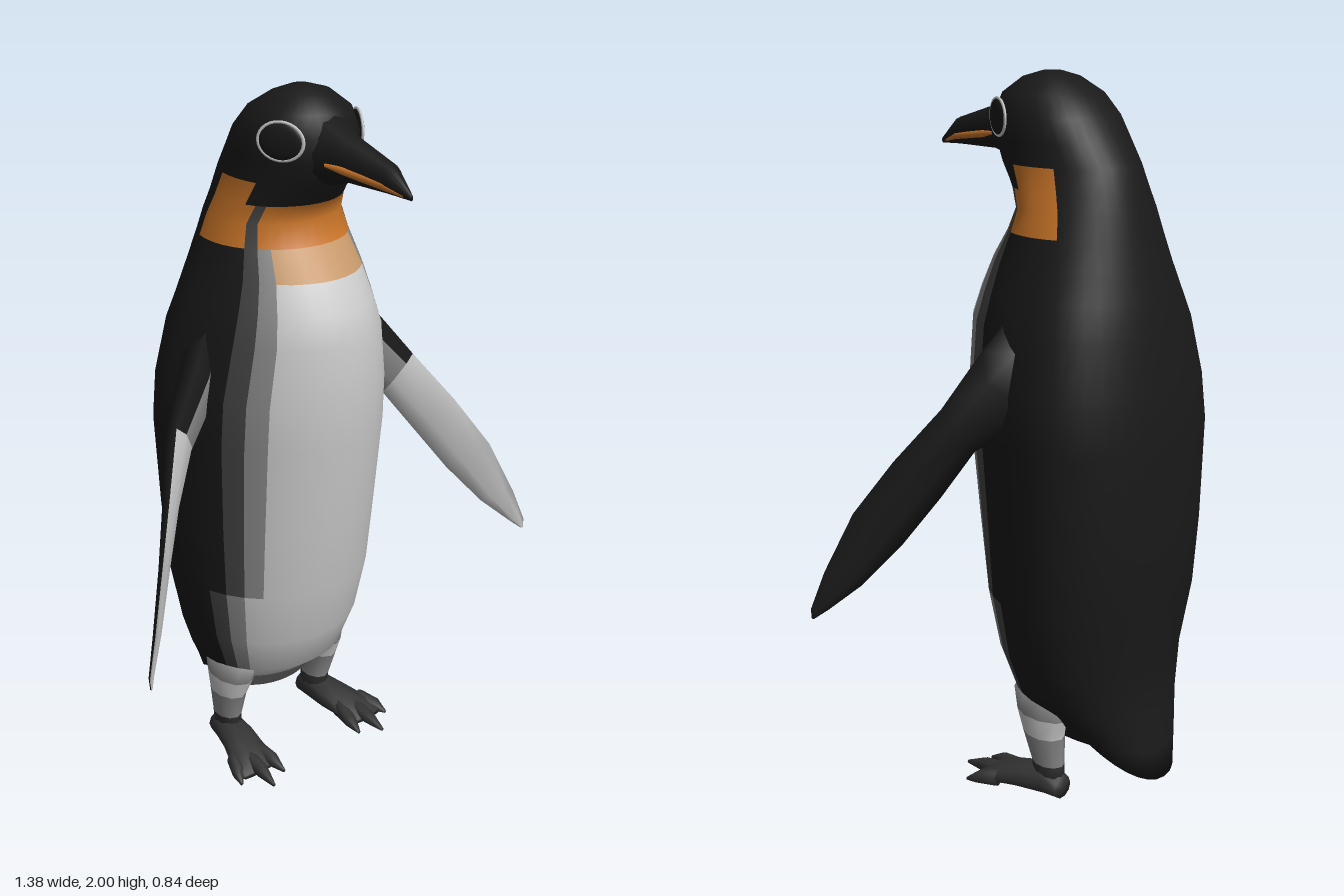
import * as THREE from 'three';

const mat = (color) => new THREE.MeshStandardMaterial({ color, side: THREE.DoubleSide });
const MATS = {
  Black: mat(0x191919), Dark: mat(0x444444), Mid: mat(0x888888), White: mat(0xc4c4c4),
  Orange: mat(0xc87428), Tan: mat(0xc99a6c), Foot: mat(0x333333),
};

// Smooth capped skin over rings of points, split into one mesh per colour.
// pick(centre, column, row) names the colour of each quad; caps are rows -1 and last.
function loft(name, rings, pick, side = 1) {
  if (side < 0) rings = rings.map((r) => r.map(([x, y, z]) => [-x, y, z]).reverse());
  const n = rings[0].length, last = rings.length - 1;
  const mean = (r) => [0, 1, 2].map((k) => r.reduce((s, p) => s + p[k], 0) / r.length);
  const points = [...rings.flat(), mean(rings[0]), mean(rings[last])];
  const start = points.length - 2, end = points.length - 1;
  const sets = {};
  const add = (corners, tris, j, i) => {
    const column = side < 0 ? (2 * n - 2 - j) % n : j;
    const centre = new THREE.Vector3(...mean(corners.map((c) => points[c])));
    (sets[pick(centre, column, i)] ??= []).push(...tris);
  };
  for (let j = 0; j < n; j++) {
    const k = (j + 1) % n;
    const startCap = [start, k, j], endCap = [end, last * n + j, last * n + k];
    add(startCap, startCap, j, -1);
    add(endCap, endCap, j, last);
    for (let i = 0; i < last; i++) {
      const a = i * n + j, b = i * n + k, c = b + n, d = a + n;
      add([a, b, c, d], side < 0 ? [a, b, d, b, c, d] : [a, b, c, a, c, d], j, i);
    }
  }
  const whole = new THREE.BufferGeometry();
  whole.setAttribute('position', new THREE.Float32BufferAttribute(points.flat(), 3));
  whole.setIndex(Object.values(sets).flat());
  whole.computeVertexNormals();

  const group = new THREE.Group();
  group.name = name;
  for (const key in sets) {
    const part = whole.clone();
    part.setIndex(sets[key]);
    const mesh = new THREE.Mesh(part.toNonIndexed(), MATS[key]);
    mesh.name = name + key;
    group.add(mesh);
  }
  return group;
}

const ring = (n, f) => Array.from({ length: n }, (_, j) => f((j / n) * Math.PI * 2));

// Upright section: front y, back y, front z, back z, half width, z of the widest point
function bodyRing([yf, yb, zf, zb, w, zc]) {
  return ring(36, (t) => {
    const s = Math.sin(t), c = Math.cos(t), e = c < 0 ? 0.92 : 1;
    const z = zc + (c < 0 ? (zb - zc) * Math.abs(c) ** e : (zf - zc) * c);
    const rise = Math.min(1, (2.3 * (z - zb)) / (zf - zb));
    return [w * Math.sign(s) * Math.abs(s) ** e, yb + (yf - yb) * rise, z];
  });
}

function makeBody() {
  const rows = [
    [0.185, 0.085, -0.06, -0.42, 0.15, -0.17], [0.25, 0.17, -0.01, -0.405, 0.188, -0.16],
    [0.31, 0.28, 0.06, -0.385, 0.23, -0.15],
    [0.43, 0.41, 0.11, -0.37, 0.272, -0.16], [0.6, 0.6, 0.15, -0.4, 0.3, -0.17],
    [0.8, 0.8, 0.18, -0.41, 0.31, -0.19], [1.07, 1.07, 0.215, -0.41, 0.32, -0.2],
    [1.2, 1.2, 0.22, -0.395, 0.315, -0.19], [1.36, 1.36, 0.22, -0.37, 0.282, -0.17],
    [1.44, 1.44, 0.19, -0.35, 0.255, -0.15], [1.52, 1.52, 0.15, -0.33, 0.228, -0.13],
    [1.6, 1.6, 0.09, -0.31, 0.203, -0.11], [1.66, 1.66, 0.06, -0.295, 0.185, -0.1],
    [1.71, 1.71, 0.085, -0.28, 0.17, -0.08], [1.77, 1.77, 0.135, -0.26, 0.157, -0.06],
    [1.83, 1.83, 0.16, -0.22, 0.156, -0.04], [1.89, 1.89, 0.165, -0.18, 0.154, -0.02],
    [1.945, 1.945, 0.135, -0.13, 0.132, 0], [1.985, 1.985, 0.08, -0.06, 0.08, 0],
    [2, 2, 0.03, -0.02, 0.025, 0],
  ];
  return loft('body', rows.map(bodyRing), (c, j, i) => {
    const angle = Math.min(j + 0.5, 35.5 - j) * 10;
    // cheek patches
    if (c.y > 1.6 && c.y < 1.77 && angle > (c.y > 1.71 ? 70 : 60) && angle < 110) return 'Orange';
    if (c.y > 1.71 || i < 0) return 'Black';
    // belly with a graded edge and an orange bib
    const edge = c.y > 0.6 ? 40 : 50;
    if (angle > edge + 20) return 'Black';
    if (angle > edge + 10) return 'Dark';
    if (c.y > 1.6) return 'Orange';
    if (angle > edge || i < 1) return 'Mid';
    return c.y > 1.52 ? 'Tan' : 'White';
  });
}

// Section across a forward-running part
const crossRing = (x, y, z, w, h, n = 10) =>
  ring(n, (t) => [x + w * Math.cos(t), y + h * Math.sin(t), z]);

function makeBeak() {
  const rows = [[0.05, 1.74, 1.965, 0.11], [0.13, 1.765, 1.945, 0.078], [0.2, 1.785, 1.905, 0.05],
    [0.35, 1.787, 1.86, 0.03], [0.42, 1.785, 1.8, 0.004]];
  return loft('beak', rows.map(([z, lo, hi, w]) =>
    crossRing(0, (lo + hi) / 2, z, w, (hi - lo) / 2, 12)), () => 'Black');
}

function makeBeakStripe(side) {
  const rows = [[0.059, 1.833, 0.17, 0.005], [0.043, 1.826, 0.22, 0.011],
    [0.025, 1.81, 0.345, 0.01], [0.008, 1.794, 0.4, 0.004]];
  return loft('beakStripe', rows.map(([x, y, z, r]) => crossRing(x, y, z, r * 0.7, r, 6)),
    () => 'Orange', side);
}

function makeEye(side) {
  const eye = new THREE.Group();
  eye.name = 'eye';
  const ball = new THREE.Mesh(new THREE.SphereGeometry(1, 20, 12), MATS.Black);
  ball.name = 'eyeball';
  ball.scale.set(0.06, 0.047, 0.012);
  const rim = new THREE.Mesh(new THREE.TorusGeometry(1, 0.09, 6, 28), MATS.White);
  rim.name = 'eyeRim';
  rim.scale.set(0.061, 0.048, 0.04);
  eye.add(ball, rim);
  eye.position.set(side * 0.126, 1.885, 0.08);
  eye.rotation.y = side * 1.08;
  return eye;
}

// Flipper: outer edge, inner edge and half thickness of each section
function makeFlipper(side) {
  const rows = [
    [[0.24, 1.41, -0.08], [0.25, 1.1, -0.1], 0.055], [[0.315, 1.31, -0.035], [0.29, 1.085, -0.08], 0.052],
    [[0.42, 1.17, 0.01], [0.35, 1.05, -0.04], 0.035], [[0.51, 1.03, 0.1], [0.43, 0.93, 0.01], 0.022],
    [[0.59, 0.89, 0.175], [0.51, 0.8, 0.08], 0.014], [[0.655, 0.73, 0.225], [0.59, 0.69, 0.155], 0.01],
    [[0.69, 0.63, 0.245], [0.655, 0.625, 0.215], 0.006], [[0.688, 0.602, 0.247], [0.682, 0.6, 0.242], 0.003],
  ];
  const rings = rows.map(([o, i, d]) => {
    const at = (f, k) => [o[0] * f + i[0] * (1 - f) + k * d, o[1] * f + i[1] * (1 - f), o[2] * f + i[2] * (1 - f) - k * d];
    return [i, at(0.3, 0.8), at(0.7, 0.8), o, at(0.8, -0.4), at(0.35, -0.4)];
  });
  // dark back and shoulder edge, pale underside
  return loft('flipper', rings, (c, j, i) => {
    if (j < 3 || (j === 3 && i < 2)) return 'Black';
    return i < 2 ? 'Mid' : 'White';
  }, side);
}

function makeLeg(side) {
  const group = new THREE.Group();
  group.name = 'leg';
  // shin, narrowing to the ankle: x, y, z, half width, half depth
  const shin = [[0.172, 0.04, -0.137, 0.036, 0.05], [0.174, 0.1, -0.138, 0.038, 0.052],
    [0.178, 0.19, -0.125, 0.047, 0.068], [0.172, 0.25, -0.12, 0.056, 0.09],
    [0.165, 0.31, -0.12, 0.058, 0.11]];
  const shades = ['Foot', 'Mid', 'White', 'Mid'];
  group.add(loft('shin', shin.map(([x, y, z, w, d]) =>
    ring(10, (t) => [x + w * Math.sin(t), y, z + d * Math.cos(t)])),
  (c, j, i) => shades[THREE.MathUtils.clamp(i, 0, 3)], side));
  // webbed foot: x, z, half width, half height
  const foot = [[0.172, -0.19, 0.034, 0.034], [0.176, -0.14, 0.045, 0.045],
    [0.187, -0.06, 0.058, 0.038], [0.207, 0.02, 0.068, 0.026], [0.215, 0.07, 0.058, 0.01]];
  group.add(loft('foot', foot.map(([x, z, w, h]) => crossRing(x, h, z, w, h)), () => 'Foot', side));
  // three toes fanning out of the web: start x, tip x, tip z
  for (const [x0, x1, z1] of [[0.165, 0.15, 0.11], [0.208, 0.215, 0.145], [0.25, 0.285, 0.08]]) {
    const rows = [[0, 0.022, 0.028], [0.6, 0.022, 0.02], [1, 0.005, 0.005]];
    group.add(loft('toe', rows.map(([f, w, h]) =>
      crossRing(x0 + (x1 - x0) * f, h, -0.01 + (z1 + 0.01) * f, w, h, 8)), () => 'Foot', side));
  }
  return group;
}

export function createModel() {
  const model = new THREE.Group();
  model.name = 'penguin';
  model.add(makeBody(), makeBeak());
  for (const side of [1, -1]) {
    for (const make of [makeBeakStripe, makeEye, makeFlipper, makeLeg]) {
      const part = make(side);
      part.name = (side > 0 ? 'left' : 'right') + part.name[0].toUpperCase() + part.name.slice(1);
      model.add(part);
    }
  }
  return model;
}
